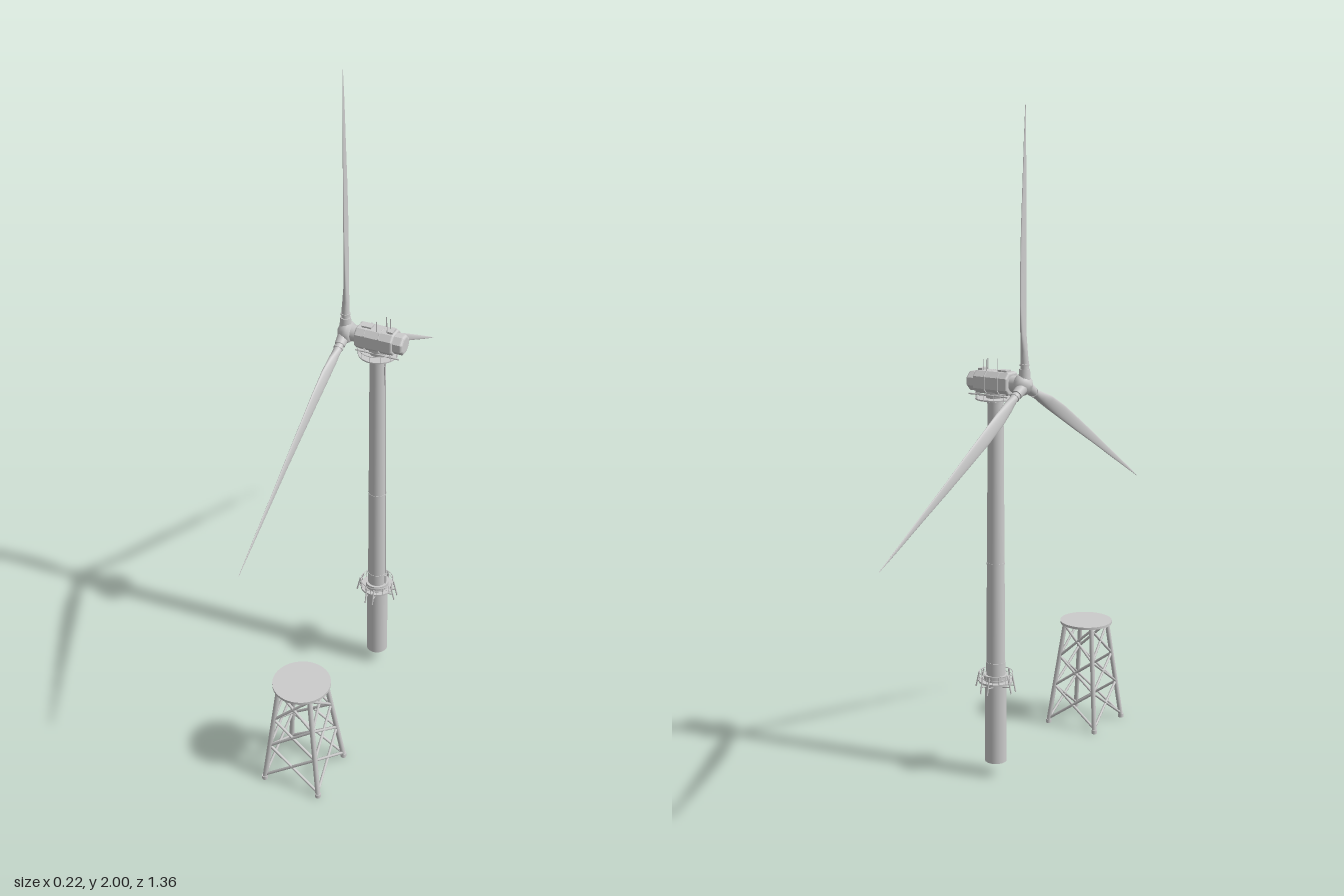
import * as THREE from 'three';

const mat = new THREE.MeshStandardMaterial({ color: 0xcccccc });
const V = (x, y, z) => new THREE.Vector3(x, y, z);

function add(parent, name, geometry, x = 0, y = 0, z = 0) {
  const mesh = new THREE.Mesh(geometry, mat);
  mesh.name = name;
  mesh.position.set(x, y, z);
  parent.add(mesh);
  return mesh;
}

function group(parent, name, x = 0, y = 0, z = 0) {
  const g = new THREE.Group();
  g.name = name;
  g.position.set(x, y, z);
  parent.add(g);
  return g;
}

const cyl = (rTop, rBottom, h, sides = 32) => new THREE.CylinderGeometry(rTop, rBottom, h, sides);

// Round bar between two points
function bar(parent, name, a, b, r, sides = 10) {
  const d = b.clone().sub(a);
  const m = add(parent, name, cyl(r, r, d.length(), sides));
  m.position.copy(a).add(b).multiplyScalar(0.5);
  m.quaternion.setFromUnitVectors(V(0, 1, 0), d.normalize());
  return m;
}

function ring(parent, name, r, tube, y) {
  return add(parent, name, new THREE.TorusGeometry(r, tube, 6, 40).rotateX(Math.PI / 2), 0, y, 0);
}

// Blade skinned over sections: [radius, half chord, half thickness, z offset, twist]
function bladeGeometry() {
  const sections = [
    [0.03, 0.012, 0.012, 0, 0], [0.065, 0.0125, 0.012, 0, 0],
    [0.1, 0.016, 0.01, -0.003, 0.35], [0.15, 0.02, 0.007, -0.007, 0.28],
    [0.23, 0.021, 0.005, -0.009, 0.18], [0.34, 0.0185, 0.004, -0.008, 0.1],
    [0.45, 0.0145, 0.0032, -0.007, 0.05], [0.58, 0.0095, 0.0024, -0.004, 0.02],
    [0.7, 0.005, 0.0016, -0.002, 0], [0.785, 0.0008, 0.0006, 0, 0],
  ];
  const n = 20, pos = [], idx = [];
  for (const [y, c, t, off, twist] of sections) {
    for (let j = 0; j < n; j++) {
      const a = (j / n) * Math.PI * 2;
      const x = t * Math.cos(a), z = c * Math.sin(a);
      pos.push(x * Math.cos(twist) + z * Math.sin(twist), y,
        z * Math.cos(twist) - x * Math.sin(twist) + off);
    }
  }
  for (let i = 0; i < sections.length - 1; i++) {
    for (let j = 0; j < n; j++) {
      const k = (j + 1) % n, a = i * n + j, b = i * n + k;
      idx.push(a, a + n, b, b, a + n, b + n);
    }
  }
  const g = new THREE.BufferGeometry();
  g.setAttribute('position', new THREE.Float32BufferAttribute(pos, 3));
  g.setIndex(idx);
  g.computeVertexNormals();
  return g;
}

function buildTower(root) {
  const tower = group(root, 'tower', 0.01, 0, 0);
  add(tower, 'foundationPile', cyl(0.033, 0.033, 0.245, 40), 0, 0.1675, 0);
  add(tower, 'towerShaft', cyl(0.023, 0.029, 0.88, 40), 0, 0.73, 0);
  for (const [y, r] of [[0.67, 0.0275], [0.36, 0.0298], [1.155, 0.0245]])
    add(tower, 'flange', cyl(r, r, 0.006, 40), 0, y, 0);
  bar(tower, 'cablePipe', V(0.029, 0.33, 0), V(0.024, 1.16, 0), 0.0018, 6);
  add(tower, 'door', new THREE.BoxGeometry(0.004, 0.03, 0.012), 0.029, 0.34, 0);
  add(tower, 'hatch', new THREE.BoxGeometry(0.004, 0.045, 0.008), 0.0235, 1.105, 0);

  // Service platform with railing and boat fenders
  add(tower, 'platformCollar', cyl(0.036, 0.036, 0.035, 40), 0, 0.305, 0);
  add(tower, 'platformDeck', cyl(0.052, 0.052, 0.006, 40), 0, 0.302, 0);
  ring(tower, 'platformRail', 0.051, 0.0013, 0.329);
  ring(tower, 'platformMidRail', 0.051, 0.001, 0.317);
  for (let i = 0; i < 16; i++) {
    const a = (i / 16) * Math.PI * 2, c = Math.cos(a), s = Math.sin(a);
    bar(tower, 'railPost', V(0.051 * c, 0.303, 0.051 * s), V(0.051 * c, 0.329, 0.051 * s), 0.001, 5);
  }
  for (let i = 0; i < 4; i++) {
    const g = group(tower, 'fender');
    g.rotation.y = i * Math.PI / 2;
    for (const s of [-1, 1]) {
      bar(g, 'fenderBar', V(0.052, 0.325, s * 0.012), V(0.064, 0.275, s * 0.012), 0.0024, 8);
      bar(g, 'fenderBracket', V(0.03, 0.29, s * 0.012), V(0.06, 0.295, s * 0.012), 0.002, 6);
    }
  }
}

function buildNacelle(root) {
  const nacelle = group(root, 'nacelle', 0, 1.215, 0);
  // Chamfered body, extruded lengthwise along x
  const section = (w, h, c) => new THREE.Shape([
    [w, -h + c], [w, h - c], [w - c, h], [-w + c, h],
    [-w, h - c], [-w, -h + c], [-w + c, -h], [w - c, -h],
  ].map(p => new THREE.Vector2(...p)));
  const body = (w, h, c, len, bevel) => new THREE.ExtrudeGeometry(section(w - bevel, h - bevel, c), {
    depth: len - 2 * bevel, bevelThickness: bevel, bevelSize: bevel, bevelSegments: 4,
  }).translate(0, 0, bevel).rotateY(Math.PI / 2);
  add(nacelle, 'nacelleBody', body(0.036, 0.033, 0.012, 0.118, 0.006), -0.05, 0, 0);
  add(nacelle, 'nacelleTail', body(0.029, 0.028, 0.012, 0.05, 0.008), 0.047, -0.001, 0);
  for (const x of [-0.02, 0.025])
    add(nacelle, 'panelRib', body(0.0368, 0.0338, 0.0125, 0.003, 0.0005), x, 0, 0);
  add(nacelle, 'generatorNeck', cyl(0.024, 0.024, 0.03).rotateZ(Math.PI / 2), -0.058, 0, 0);

  // Roof equipment
  add(nacelle, 'roofHatch', new THREE.BoxGeometry(0.03, 0.006, 0.024), -0.02, 0.035, 0);
  add(nacelle, 'roofCooler', new THREE.BoxGeometry(0.014, 0.01, 0.03), 0.055, 0.034, 0);
  for (const [x, z] of [[0.015, 0.018], [0.03, -0.018], [0.045, 0.012], [0.045, -0.012]])
    bar(nacelle, 'roofMast', V(x, 0.028, z), V(x, 0.066, z), 0.0012, 6);

  // Yaw bearing and the service deck beneath
  const yaw = group(root, 'yawDeck', 0.012, 0, 0);
  add(yaw, 'yawBearing', cyl(0.028, 0.025, 0.03), 0, 1.175, 0);
  add(yaw, 'deckDisc', cyl(0.058, 0.058, 0.004, 40), 0, 1.167, 0);
  ring(yaw, 'deckRail', 0.058, 0.0012, 1.187);
  for (let i = 0; i < 12; i++) {
    const a = (i / 12) * Math.PI * 2, c = 0.058 * Math.cos(a), s = 0.058 * Math.sin(a);
    bar(yaw, 'deckPost', V(c, 1.167, s), V(c, 1.187, s), 0.001, 5);
  }
  for (const s of [-1, 1])
    bar(yaw, 'sideBeam', V(-0.06, 1.178, s * 0.025), V(0.075, 1.178, s * 0.025), 0.0025, 8);
}

function buildRotor(root) {
  const rotor = group(root, 'rotor', -0.09, 1.215, 0);
  // Spinner, nose pointing to -x
  const profile = [[0, 0.024], [0.012, 0.021], [0.024, 0.013], [0.031, 0], [0.032, -0.012], [0.026, -0.022], [0, -0.024]]
    .map(p => new THREE.Vector2(...p)).reverse();
  add(rotor, 'spinner', new THREE.LatheGeometry(profile, 32).rotateZ(Math.PI / 2));
  const blade = bladeGeometry();
  for (let i = 0; i < 3; i++) {
    const arm = group(rotor, 'bladeArm');
    arm.rotation.x = i * Math.PI * 2 / 3;
    add(arm, 'bladeSocket', cyl(0.0155, 0.018, 0.03, 24), 0, 0.032, 0);
    add(arm, 'bladeRing', cyl(0.0145, 0.0145, 0.005, 24), 0, 0.058, 0);
    add(arm, 'blade', blade);
  }
}

function buildJacket(root) {
  const jacket = group(root, 'latticeStand', 0.01, 0, 0.532);
  const top = 0.34, foot = 0.005;
  const half = y => 0.088 + (0.05 - 0.088) * (y - foot) / (top - foot);
  add(jacket, 'topDisc', cyl(0.085, 0.085, 0.008, 48), 0, 0.345, 0);
  const levels = [0.015, 0.13, 0.23, 0.335];
  for (let i = 0; i < 4; i++) {
    const side = group(jacket, 'latticeSide');
    side.rotation.y = i * Math.PI / 2;
    const at = (s, y) => V(s * half(y), y, half(y));
    bar(side, 'leg', at(1, foot + 0.004), at(1, top), 0.0075, 14);
    add(side, 'legFoot', cyl(0.009, 0.009, 0.012, 14), half(foot), 0.006, half(foot));
    for (let k = 0; k < 3; k++)
      for (const s of [-1, 1])
        bar(side, 'crossBrace', at(s, levels[k]), at(-s, levels[k + 1]), 0.0042, 8);
  }
}

export function createModel() {
  const root = new THREE.Group();
  root.name = 'offshoreWindTurbine';
  buildTower(root);
  buildNacelle(root);
  buildRotor(root);
  buildJacket(root);
  return root;
}
